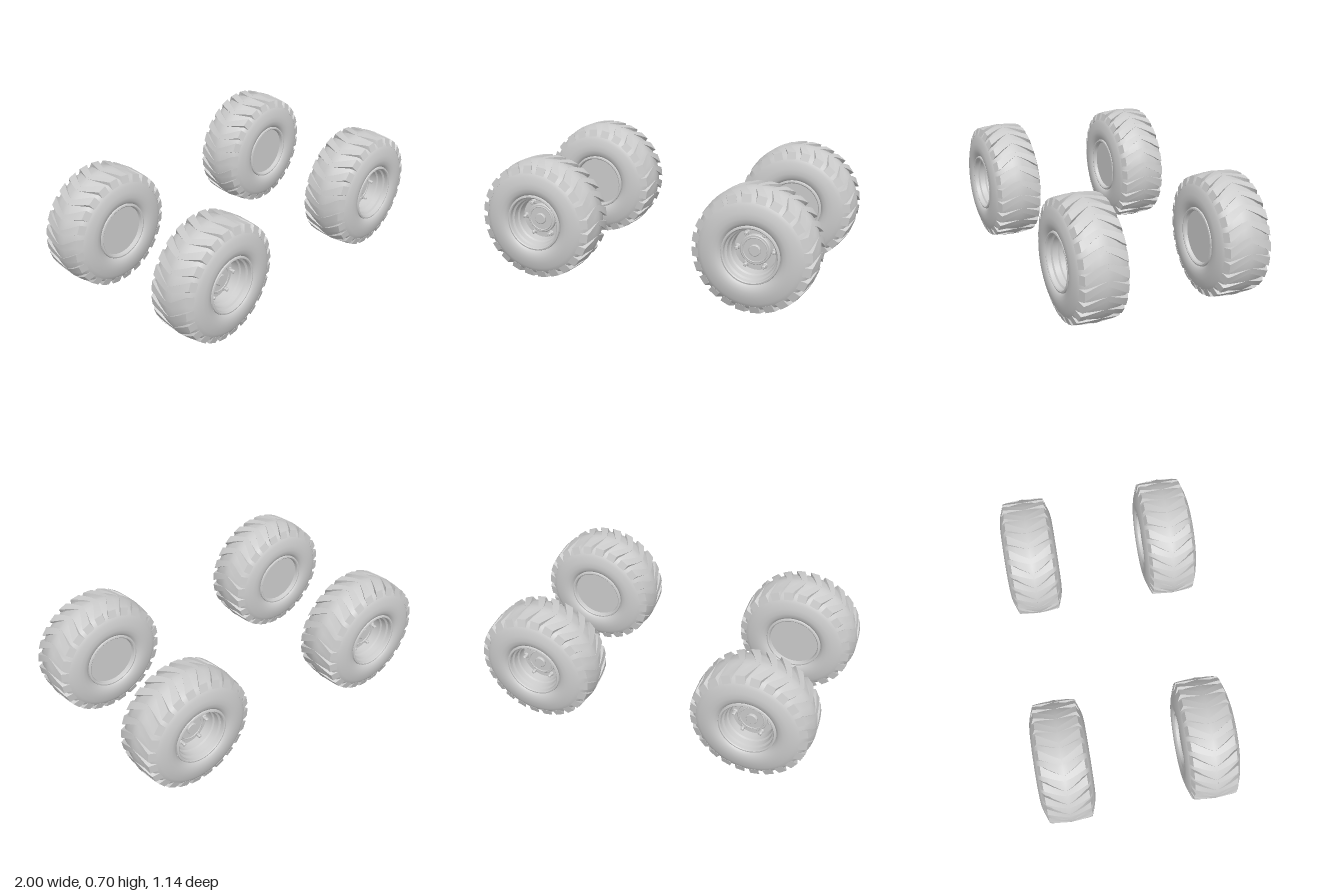
import * as THREE from 'three';
import { toCreasedNormals } from 'three/addons/utils/BufferGeometryUtils.js';

const material = new THREE.MeshStandardMaterial({ color: 0xcccccc });
const LUGS = 24;

function part(name, geometry, crease = 0.6) {
  const mesh = new THREE.Mesh(toCreasedNormals(geometry, crease), material);
  mesh.name = name;
  return mesh;
}

// Profile of [radius, axial position] pairs turned around the z axle.
function turned(profile, segments) {
  const points = profile.map(([r, h]) => new THREE.Vector2(r, h));
  return new THREE.LatheGeometry(points, segments).rotateX(Math.PI / 2);
}

function disc(radius, from, to, segments) {
  return turned([[0, from], [radius, from], [radius, to - 0.004], [radius - 0.004, to], [0, to]], segments);
}

function tyreGeometry() {
  const half = [[0.164, 0.128], [0.17, 0.142], [0.185, 0.152], [0.21, 0.157], [0.24, 0.154],
    [0.275, 0.145], [0.3, 0.134], [0.316, 0.118], [0.33, 0.08], [0.344, 0.03]];
  const back = half.map(([r, h]) => [r, -h]);
  return turned([...back, [0.35, 0], ...half.reverse(), half[half.length - 1]].slice(0, -1), 72);
}

// Curved, slanted tread bars on both halves of the tyre.
function treadGeometry(lean) {
  // top axial, top radius, bottom axial, bottom radius, sweep angle, half width
  const sections = [
    [0.004, 0.3495, 0.004, 0.31, 0, 0.045],
    [0.035, 0.348, 0.035, 0.31, 0.035, 0.055],
    [0.07, 0.345, 0.07, 0.305, 0.085, 0.064],
    [0.1, 0.342, 0.1, 0.3, 0.135, 0.074],
    [0.122, 0.338, 0.138, 0.296, 0.17, 0.08],
  ];
  const positions = [];
  const index = [];
  for (const side of [1, -1]) {
    for (let i = 0; i < LUGS; i++) {
      const base = positions.length / 3;
      const start = (i / LUGS) * Math.PI * 2;
      const quad = (a, b, c, d) => {
        const q = side > 0 ? [a, b, c, a, c, d] : [a, c, b, a, d, c];
        index.push(...q.map((v) => v + base));
      };
      for (const [ht, rt, hb, rb, sweep, w] of sections) {
        const angle = start - lean * sweep;
        const corners = [[rt, ht, w], [rt, ht, -w], [rb, hb, -w * 1.12], [rb, hb, w * 1.12]];
        for (const [r, h, offset] of corners) {
          positions.push(r * Math.cos(angle + offset), r * Math.sin(angle + offset), side * h);
        }
      }
      const last = (sections.length - 1) * 4;
      for (let s = 0; s < last; s += 4) {
        for (let j = 0; j < 4; j++) {
          const k = (j + 1) % 4;
          quad(s + k, s + j, s + 4 + j, s + 4 + k);
        }
      }
      quad(last + 1, last, last + 3, last + 2);
      quad(0, 1, 2, 3);
    }
  }
  const geometry = new THREE.BufferGeometry();
  geometry.setAttribute('position', new THREE.Float32BufferAttribute(positions, 3));
  geometry.setIndex(index);
  return geometry;
}

function createWheel(name, lean) {
  const wheel = new THREE.Group();
  wheel.name = name;
  wheel.add(part('tyre', tyreGeometry(), 0.7));
  wheel.add(part('treadLugs', treadGeometry(lean), 0.5));

  // Rim: closed plate on the inner side, deep stepped dish on the outer side
  wheel.add(part('rim', turned([
    [0, -0.125], [0.146, -0.125], [0.15, -0.143], [0.156, -0.148], [0.164, -0.146], [0.167, -0.138],
    [0.16, -0.12], [0.16, 0.12], [0.167, 0.138], [0.164, 0.146], [0.156, 0.148], [0.151, 0.143],
    [0.148, 0.122], [0.138, 0.115], [0.134, 0.085], [0.126, 0.078], [0.122, 0.03], [0, 0.03],
  ], 56)));

  // Hub with its stepped centre cap
  wheel.add(part('hub', disc(0.086, 0.025, 0.052, 40)));
  wheel.add(part('hubRing', new THREE.TorusGeometry(0.07, 0.004, 8, 40).translate(0, 0, 0.052)));
  wheel.add(part('hubCap', disc(0.033, 0.05, 0.066, 28)));

  // Six wheel bolts with washers
  for (let i = 0; i < 6; i++) {
    const a = (i / 6) * Math.PI * 2;
    const bolt = new THREE.Group();
    bolt.name = 'wheelBolt';
    bolt.add(part('washer', disc(0.016, 0.025, 0.038, 16)));
    bolt.add(part('nut', disc(0.011, 0.03, 0.064, 6)));
    bolt.position.set(0.104 * Math.cos(a), 0.104 * Math.sin(a), 0);
    wheel.add(bolt);
  }
  return wheel;
}

export function createModel() {
  const model = new THREE.Group();
  model.name = 'wheelSet';
  for (const [end, z] of [['front', 0.414], ['back', -0.414]]) {
    for (const [side, x] of [['Left', 0.65], ['Right', -0.65]]) {
      const wheel = createWheel(`${end}${side}Wheel`, Math.sign(z));
      wheel.position.set(x, 0.35, z);
      // Dished side always faces outward
      if (z < 0) wheel.rotation.y = Math.PI;
      model.add(wheel);
    }
  }
  return model;
}
